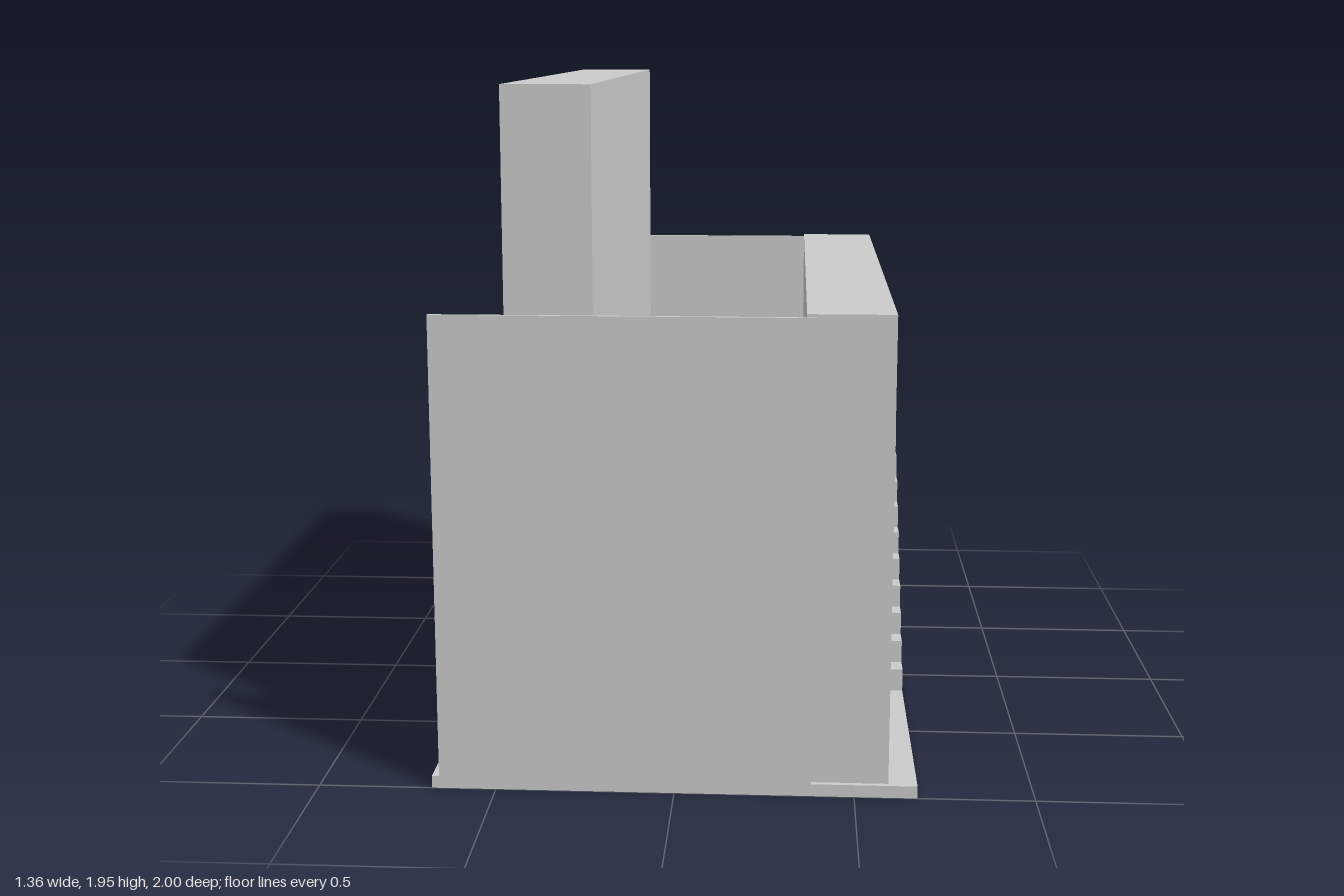
import * as THREE from 'three';
import { toCreasedNormals } from 'three/addons/utils/BufferGeometryUtils.js';

const material = new THREE.MeshStandardMaterial({ color: 0xcccccc, side: THREE.DoubleSide });
const BASE = 0.035;

function box(name, x0, x1, y0, y1, z0, z1) {
  const mesh = new THREE.Mesh(new THREE.BoxGeometry(x1 - x0, y1 - y0, z1 - z0), material);
  mesh.position.set((x0 + x1) / 2, (y0 + y1) / 2, (z0 + z1) / 2);
  mesh.name = name;
  return mesh;
}

// Extrudes a [z, y] outline with holes along x
function slab(name, outline, holes, x0, x1) {
  const toVectors = (pts) => pts.map(([z, y]) => new THREE.Vector2(-z, y));
  const shape = new THREE.Shape(toVectors(outline));
  for (const h of holes) shape.holes.push(new THREE.Path(toVectors(h)));
  const geo = new THREE.ExtrudeGeometry(shape, { depth: x1 - x0, bevelEnabled: false });
  geo.rotateY(Math.PI / 2).translate(x0, 0, 0);
  const mesh = new THREE.Mesh(toCreasedNormals(geo, 0.5), material);
  mesh.name = name;
  return mesh;
}

// Arc points in degrees; 0 is the front (+z) side of the arch, 180 the back
function arc({ c, r, spring }, from, to, n = 20) {
  return Array.from({ length: n + 1 }, (_, i) => {
    const a = THREE.MathUtils.degToRad(from + ((to - from) * i) / n);
    return [c + r * Math.cos(a), spring + r * Math.sin(a)];
  });
}

export function createModel() {
  const model = new THREE.Group();

  // Ground slab, end panels and tall inner wall
  model.add(box('base', -0.68, 0.675, 0, BASE, -1, 1));
  for (const [name, s] of [['frontPanel', 1], ['backPanel', -1]]) {
    const z = [s * 0.988, s].sort((a, b) => a - b);
    model.add(box(name, -0.66, 0.38, BASE, 1.342, z[0], z[1]));
  }
  model.add(box('tallWall', -0.455, -0.215, BASE, 1.95, -0.985, 0.985));

  // Outer wall: arched passages, partly closed by a skin on each face
  const low = { c: 0.535, r: 0.225, spring: 0.675 };
  const high = { c: -0.525, r: 0.17, spring: 1.08 };
  const face = [[0.985, BASE], [-0.985, BASE], [-0.985, 1.35], [0.985, 1.35]];
  const passages = [
    [[0.76, 0.05], ...arc(low, 0, 180), [0.31, 0.05]],
    [[-0.355, 0.7], ...arc(high, 0, 180), [-0.695, 0.7]],
  ];
  const outerOpenings = [
    [[0.76, 0.13], ...arc(low, 0, 58), ...arc(low, 99, 180), [0.31, 0.315]],
    [[-0.365, 0.7], [-0.675, 1.165], [-0.695, 0.7]],
  ];
  const innerOpenings = [
    [[0.76, 0.15], ...arc(low, 0, 58), [0.31, 0.675], [0.31, 0.38]],
    [[-0.355, 0.7], [-0.355, 1.08], ...arc(high, 150, 180, 6), [-0.695, 0.7]],
  ];
  const wall = new THREE.Group();
  wall.name = 'outerWall';
  wall.add(slab('wallInnerFace', face, innerOpenings, 0.355, 0.358));
  wall.add(slab('wallCore', face, passages, 0.358, 0.592));
  wall.add(slab('wallOuterFace', face, outerOpenings, 0.592, 0.595));
  model.add(wall);

  // Solid staircase climbing toward the back, ending in a landing
  const steps = 10, rise = 0.07, run = 0.0705;
  const profile = [[-0.69, BASE], [0.245, BASE]];
  for (let i = 0; i < steps; i++) {
    const z = 0.245 - i * run, y = BASE + (i + 1) * rise;
    profile.push([z, y], [i === steps - 1 ? -0.69 : z - run, y]);
  }
  model.add(slab('staircase', profile, [], 0.595, 0.675));

  return model;
}
